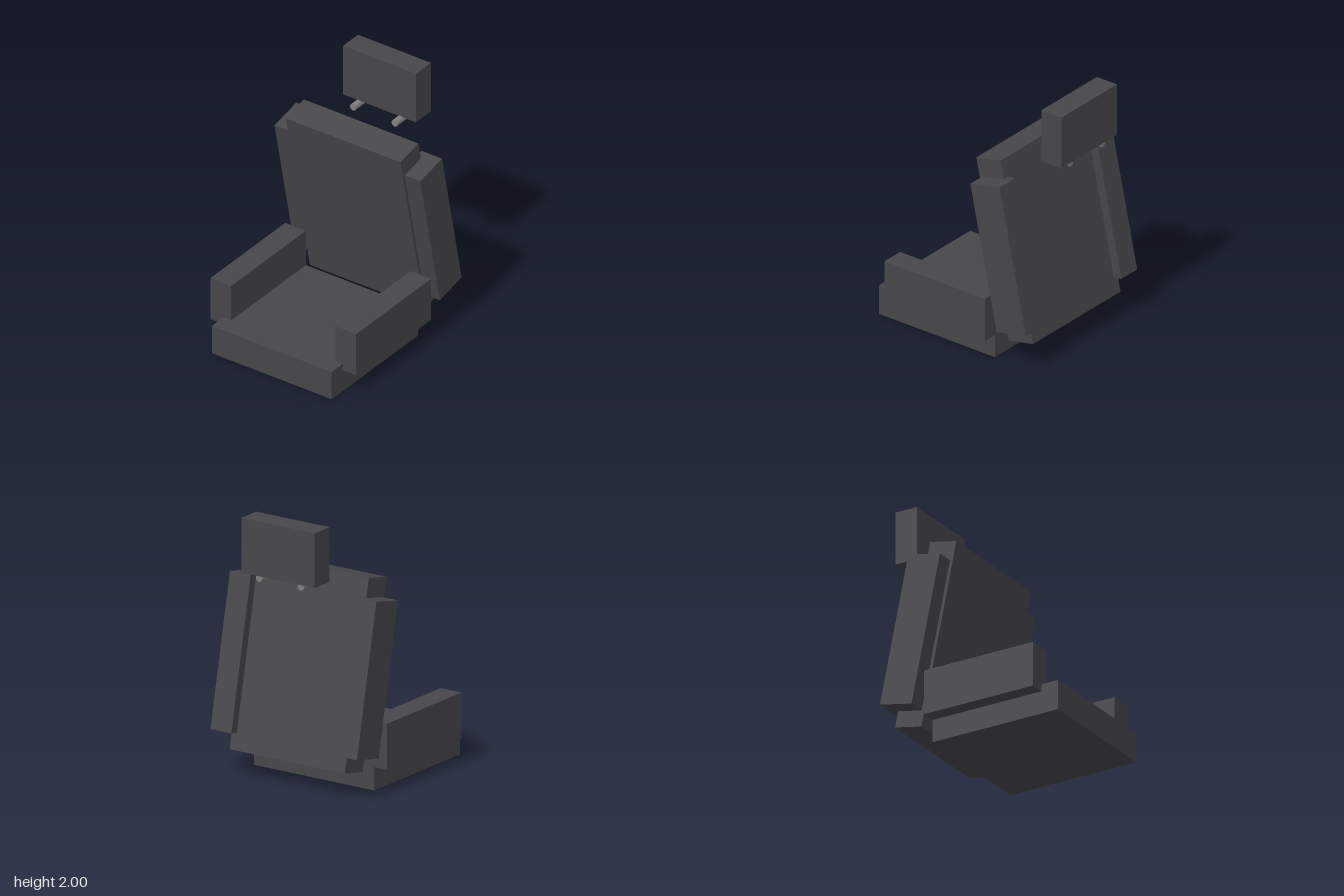
import * as THREE from 'three';

export function createModel() {
  const chair = new THREE.Group();
  chair.name = 'chair';
  const padding = new THREE.MeshStandardMaterial({ color: 0x47464a });
  const metal = new THREE.MeshStandardMaterial({ color: 0x808080 });

  const addBox = (name, size, position, tilt = 0) => {
    const mesh = new THREE.Mesh(new THREE.BoxGeometry(...size), padding);
    mesh.name = name;
    mesh.position.set(...position);
    mesh.rotation.x = tilt;
    chair.add(mesh);
  };

  // Seat cushion, tilted backrest panel and floating headrest
  const lean = THREE.MathUtils.degToRad(12);
  addBox('seat', [1.055, 0.23, 1.055], [0, 0.115, 0.2225]);
  addBox('backrest', [1.01, 1.42, 0.225], [0, 0.877, -0.377], lean);
  addBox('headrest', [0.642, 0.41, 0.182], [0, 1.795, -0.656]);

  // Mirrored parts
  for (const [label, s] of [['left', 1], ['right', -1]]) {
    addBox(label + 'Armrest', [0.182, 0.345, 0.915], [s * 0.551, 0.3475, 0.1525]);
    addBox(label + 'Bolster', [0.182, 1.15, 0.272], [s * 0.551, 0.876, -0.425], lean);

    // Horizontal headrest rod
    const rod = new THREE.Mesh(new THREE.CylinderGeometry(0.027, 0.027, 0.23, 24), metal);
    rod.name = label + 'HeadrestRod';
    rod.rotation.x = Math.PI / 2;
    rod.position.set(s * 0.183, 1.567, -0.61);
    chair.add(rod);
  }
  return chair;
}
